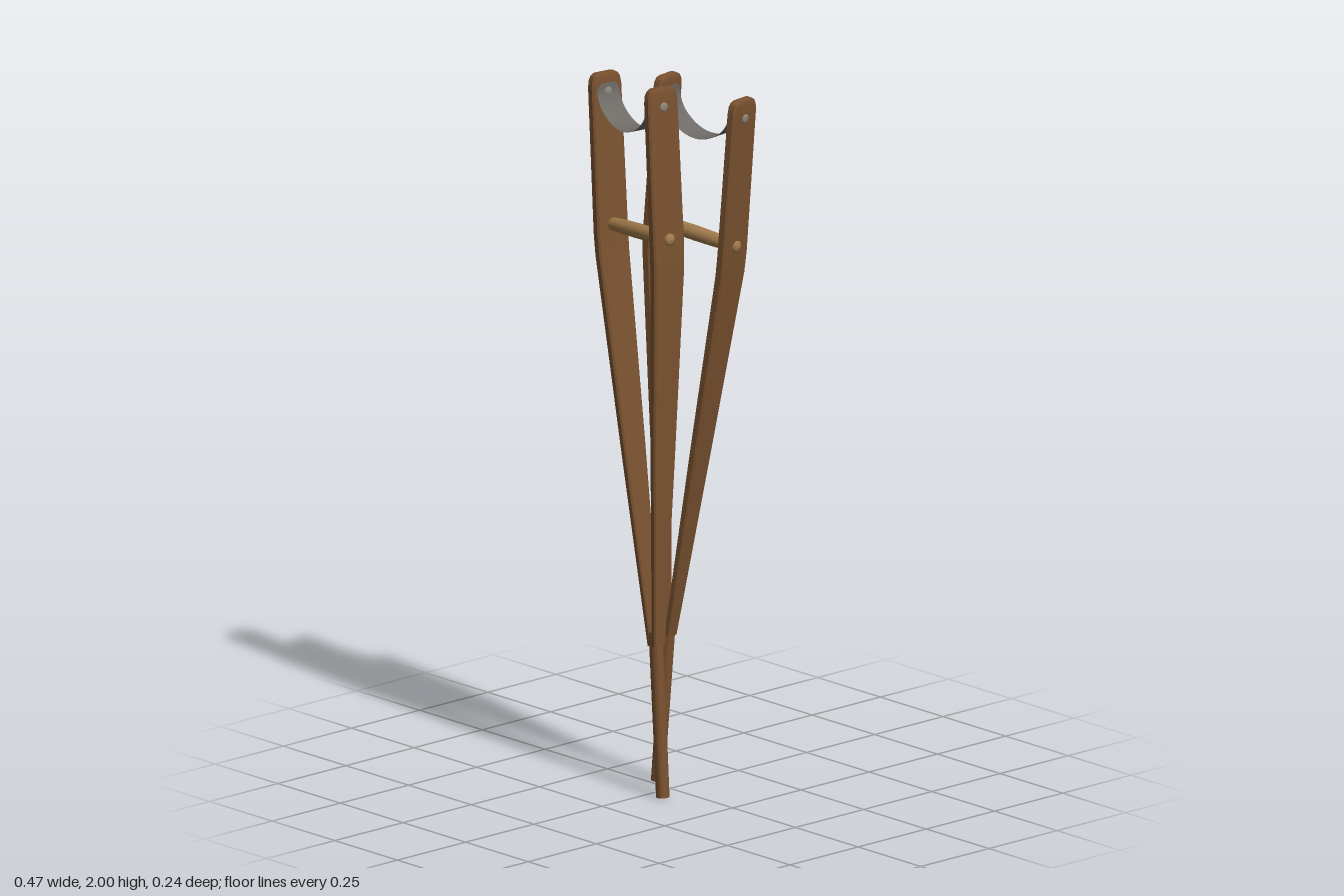
import * as THREE from 'three';
import { toCreasedNormals } from 'three/addons/utils/BufferGeometryUtils.js';

const wood = new THREE.MeshStandardMaterial({ color: 0x7a5230 });
wood.name = 'brown wood';
const gripWood = new THREE.MeshStandardMaterial({ color: 0xa07a4a });
gripWood.name = 'light wood';
const leather = new THREE.MeshStandardMaterial({ color: 0x6e6a66, side: THREE.DoubleSide });
leather.name = 'grey sling';
const metal = new THREE.MeshStandardMaterial({ color: 0x8a8378 });
metal.name = 'grey metal';

const HANDLE_Y = 1.572, BOLT_Y = 1.94, OUTER = 0.144, INNER = 0.117;

function addMesh(parent, name, geometry, material) {
  const mesh = new THREE.Mesh(geometry, material);
  mesh.name = name;
  parent.add(mesh);
  return mesh;
}

// Loft of chamfered rectangles; each section is [y, centre x, half thickness, half width]
function loftRail(sections, side) {
  const rings = sections.map(([y, cx, hx, hz]) => {
    const c = Math.min(0.005, hx * 0.4, hz * 0.4);
    return [[hx, -hz + c], [hx, hz - c], [hx - c, hz], [-hx + c, hz],
      [-hx, hz - c], [-hx, -hz + c], [-hx + c, -hz], [hx - c, -hz]]
      .map(([x, z]) => [side * cx + x, y, z]);
  });
  const pos = [];
  const tri = (a, b, c) => pos.push(...a, ...b, ...c);
  const last = rings.length - 1;
  for (let i = 0; i < 8; i++) {
    const j = (i + 1) % 8;
    for (let k = 0; k < last; k++) {
      tri(rings[k][i], rings[k + 1][i], rings[k][j]);
      tri(rings[k][j], rings[k + 1][i], rings[k + 1][j]);
    }
    const [, y0, x0] = sections[0].slice(0, 1).concat(sections[0][0], side * sections[0][1]);
    const [y1, x1] = [sections[last][0], side * sections[last][1]];
    tri([x0, y0, 0], rings[0][i], rings[0][j]);
    tri([x1, y1, 0], rings[last][j], rings[last][i]);
  }
  const geo = new THREE.BufferGeometry();
  geo.setAttribute('position', new THREE.Float32BufferAttribute(pos, 3));
  return toCreasedNormals(geo, 0.5);
}

const RAIL = [
  [0.42, 0.0095, 0.0095, 0.018],
  [0.97, 0.0700, 0.0120, 0.036],
  [1.49, 0.1280, 0.0135, 0.050],
  [1.55, 0.1305, 0.0135, 0.051],
  [1.955, 0.1305, 0.0135, 0.049],
  [1.975, 0.1305, 0.0135, 0.046],
  [1.986, 0.1305, 0.0130, 0.040],
  [1.992, 0.1305, 0.0110, 0.030],
];

// Strap hanging between the rails, with upright tabs against their inner faces
function slingGeometry() {
  const path = new THREE.CatmullRomCurve3([
    [-0.115, 1.965], [-0.114, 1.935], [-0.095, 1.897], [-0.05, 1.864], [0, 1.853],
    [0.05, 1.864], [0.095, 1.897], [0.114, 1.935], [0.115, 1.965],
  ].map(([x, y]) => new THREE.Vector3(x, y, 0)));
  const geo = new THREE.PlaneGeometry(1, 1, 40, 2);
  const p = geo.attributes.position;
  for (let i = 0; i < p.count; i++) {
    const t = p.getX(i) + 0.5;
    const point = path.getPoint(t);
    const edge = Math.min(1, Math.min(t, 1 - t) / 0.1);
    const width = 0.074 * (0.55 + 0.45 * Math.sqrt(edge));
    p.setXYZ(i, point.x, point.y, -p.getY(i) * width);
  }
  geo.computeVertexNormals();
  return geo;
}

// Turned grip, slightly swollen in the middle, with domed ends outside the rails
function handleGeometry() {
  const end = OUTER + 0.009;
  const half = [[0.0001, end], [0.010, end - 0.002], [0.017, OUTER + 0.002], [0.018, INNER], [0.020, 0.06]];
  const points = [
    ...half.map(([r, y]) => new THREE.Vector2(r, -y)),
    new THREE.Vector2(0.021, 0),
    ...half.slice().reverse().map(([r, y]) => new THREE.Vector2(r, y)),
  ];
  return new THREE.LatheGeometry(points, 20);
}

function createCrutch(name) {
  const crutch = new THREE.Group();
  crutch.name = name;

  // Round lower pole
  addMesh(crutch, 'pole', toCreasedNormals(new THREE.CylinderGeometry(0.0195, 0.0185, 0.46, 16), 0.7), wood)
    .position.y = 0.23;

  for (const side of [-1, 1]) {
    const label = side > 0 ? 'left' : 'right';
    addMesh(crutch, label + 'Rail', loftRail(RAIL, side), wood);

    // Domed bolt heads on both faces of the rail
    for (const [x, part] of [[OUTER, 'OuterBolt'], [INNER - 0.002, 'InnerBolt']]) {
      const bolt = addMesh(crutch, label + part, new THREE.SphereGeometry(0.013, 14, 10), metal);
      bolt.scale.x = 0.35;
      bolt.position.set(side * x, BOLT_Y, 0);
    }
  }

  const handle = addMesh(crutch, 'handle', handleGeometry(), gripWood);
  handle.rotation.z = Math.PI / 2;
  handle.position.y = HANDLE_Y;

  addMesh(crutch, 'sling', slingGeometry(), leather);
  return crutch;
}

export function createModel() {
  const model = new THREE.Group();
  model.name = 'crutches';
  const deg = Math.PI / 180;

  // Two crutches leaning past each other
  const front = createCrutch('frontCrutch');
  front.position.set(0.05, 0.0015, 0.073);
  front.rotation.set(0, -7 * deg, 4.1 * deg);

  const back = createCrutch('backCrutch');
  back.position.set(-0.078, 0.0015, -0.026);
  back.rotation.set(0, 8 * deg, -4.8 * deg);

  model.add(front, back);
  return model;
}
